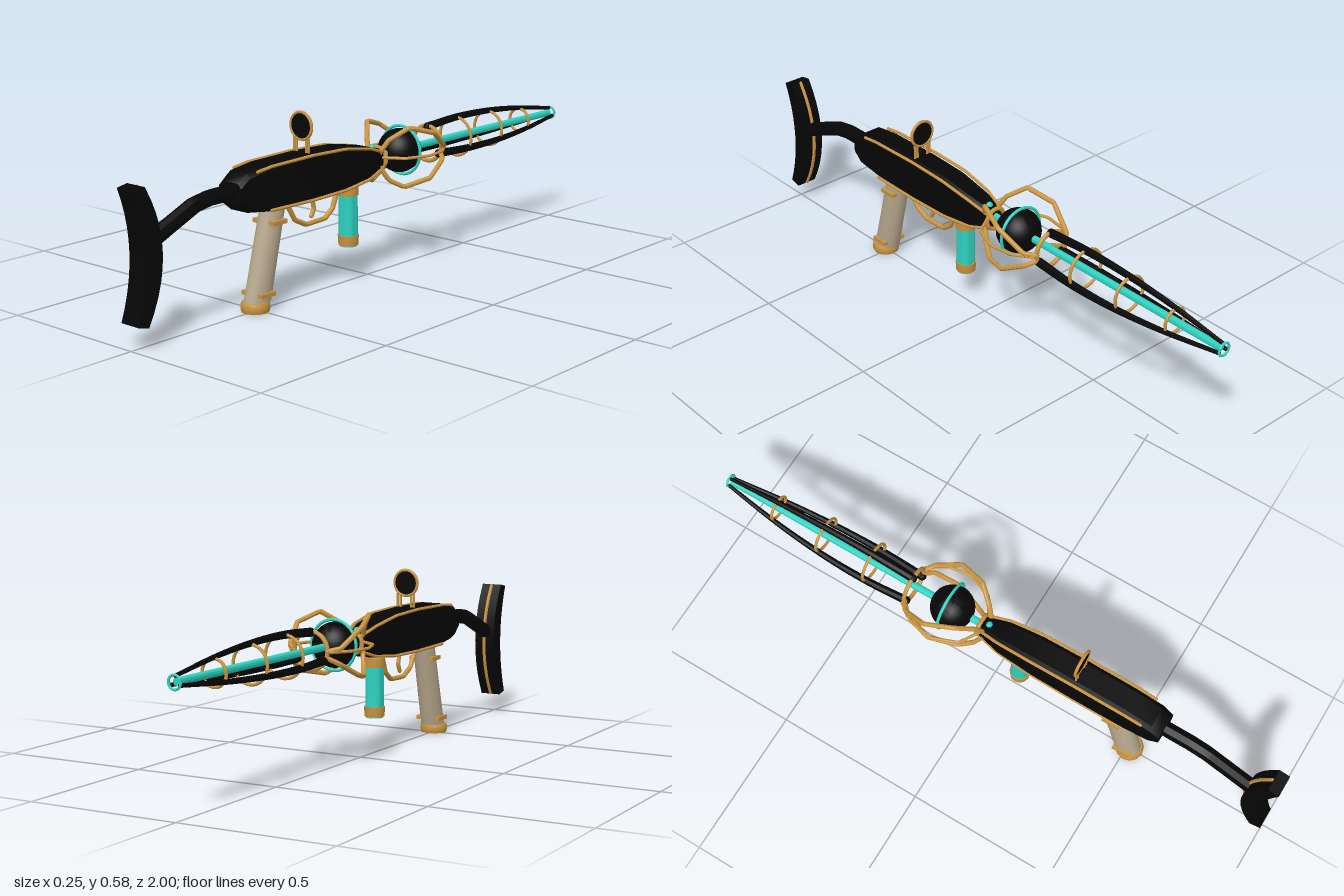
import * as THREE from 'three';
import { toCreasedNormals } from 'three/addons/utils/BufferGeometryUtils.js';

const V = (x, y, z) => new THREE.Vector3(x, y, z);
const AXIS = 0.38; // height of the barrel axis

export function createModel() {
  const model = new THREE.Group();
  const black = new THREE.MeshStandardMaterial({ color: 0x060606 });
  black.name = 'black';
  const brass = new THREE.MeshStandardMaterial({ color: 0xc8933f });
  brass.name = 'brass';
  const teal = new THREE.MeshStandardMaterial({ color: 0x2ed3c2 });
  teal.name = 'teal';
  const ivory = new THREE.MeshStandardMaterial({ color: 0xb8a88e });
  ivory.name = 'ivory';

  function add(name, geometry, material, x = 0, y = 0, z = 0) {
    const mesh = new THREE.Mesh(toCreasedNormals(geometry, 0.7), material);
    mesh.name = name;
    mesh.position.set(x, y, z);
    model.add(mesh);
    return mesh;
  }

  // Straight-segment path through points, or a smooth one, as a closed-ended tube
  function rod(name, points, r0, material, { smooth = false, r1 = r0, sides = 8 } = {}) {
    let curve;
    if (smooth) curve = new THREE.CatmullRomCurve3(points);
    else {
      curve = new THREE.CurvePath();
      for (let i = 1; i < points.length; i++) curve.add(new THREE.LineCurve3(points[i - 1], points[i]));
    }
    const steps = smooth ? 24 : (points.length - 1) * 6;
    const g = new THREE.TubeGeometry(curve, steps, r0, sides);
    const p = g.attributes.position;
    const v = new THREE.Vector3();
    for (let i = 0; i <= steps; i++) {
      const c = curve.getPointAt(i / steps);
      const k = THREE.MathUtils.lerp(1, r1 / r0, i / steps);
      for (let j = 0; j <= sides; j++) {
        const n = i * (sides + 1) + j;
        v.fromBufferAttribute(p, n).sub(c).multiplyScalar(k).add(c);
        p.setXYZ(n, v.x, v.y, v.z);
      }
    }
    add(name, g, material);
    for (const [q, r] of [[points[0], r0], [points[points.length - 1], r1]]) {
      add(name + 'End', new THREE.SphereGeometry(r, 8, 6), material, q.x, q.y, q.z);
    }
  }

  const ring = (name, R, r, material, y, z) =>
    add(name, new THREE.TorusGeometry(R, r, 8, 32), material, 0, y, z);

  // Receiver: chamfered box sections lofted along z  [z, half width, bottom, top]
  const stations = [
    [-0.05, 0.027, 0.34, 0.403], [0.03, 0.041, 0.318, 0.425], [0.15, 0.046, 0.305, 0.445],
    [0.3, 0.047, 0.302, 0.45], [0.48, 0.047, 0.305, 0.447], [0.57, 0.047, 0.318, 0.435],
    [0.605, 0.045, 0.345, 0.41],
  ];
  const pos = [];
  const index = [];
  for (const [z, w, b, t] of stations) {
    const c = 0.014;
    for (const [x, y] of [[w, b + c], [w, t - c], [w - c, t], [c - w, t], [-w, t - c], [-w, b + c], [c - w, b], [w - c, b]]) {
      pos.push(x, y, z);
    }
  }
  const last = (stations.length - 1) * 8;
  for (let i = 0; i < last; i += 8) {
    for (let j = 0; j < 8; j++) {
      const k = (j + 1) % 8;
      index.push(i + j, i + k, i + 8 + k, i + j, i + 8 + k, i + 8 + j);
    }
  }
  for (let j = 1; j < 7; j++) index.push(0, j + 1, j, last, last + j, last + j + 1);
  const body = new THREE.BufferGeometry();
  body.setAttribute('position', new THREE.Float32BufferAttribute(pos, 3));
  body.setIndex(index);
  add('receiver', body, black);

  // Brass rails along the receiver edges
  for (const s of [-1, 1]) {
    rod('upperRail', [V(s * 0.048, 0.436, 0.54), V(s * 0.049, 0.443, 0.48), V(s * 0.049, 0.446, 0.3),
      V(s * 0.049, 0.441, 0.15), V(s * 0.042, 0.42, 0.03), V(s * 0.028, 0.395, -0.045)], 0.005, brass, { sides: 6 });
    rod('lowerRail', [V(s * 0.045, 0.31, 0.48), V(s * 0.045, 0.307, 0.3), V(s * 0.044, 0.31, 0.15),
      V(s * 0.039, 0.323, 0.03), V(s * 0.027, 0.347, -0.045)], 0.005, brass, { sides: 6 });
  }
  ring('receiverCollar', 0.034, 0.007, brass, 0.373, -0.05);
  add('receiverBead', new THREE.SphereGeometry(0.011, 12, 8), teal, 0, 0.409, -0.022);

  // Stock neck and curved butt pad
  rod('stockNeck', [V(0, 0.295, 0.925), V(0, 0.315, 0.88), V(0, 0.37, 0.75), V(0, 0.38, 0.69), V(0, 0.38, 0.59)], 0.025, black);
  const pad = new THREE.Shape();
  pad.moveTo(1, 0.46);
  pad.quadraticCurveTo(0.925, 0.27, 1, 0.075);
  pad.lineTo(0.963, 0.065);
  pad.quadraticCurveTo(0.845, 0.27, 0.963, 0.467);
  pad.closePath();
  const padGeometry = new THREE.ExtrudeGeometry(pad, { depth: 0.072, bevelEnabled: false, curveSegments: 10 });
  padGeometry.rotateY(-Math.PI / 2).translate(0.036, 0, 0);
  add('buttPad', padGeometry, black);
  const trim = new THREE.QuadraticBezierCurve3(V(0, 0.07, 0.96), V(0, 0.27, 0.842), V(0, 0.462, 0.96));
  rod('buttTrim', trim.getPoints(8), 0.006, brass, { smooth: true, sides: 6 });

  // Slanted grip with bands and pommel
  const slant = 0.25;
  const gripZ = (y) => 0.508 - slant * y;
  const grip = new THREE.CylinderGeometry(0.044, 0.047, 0.28, 12);
  grip.scale(0.78, 1, 1).applyMatrix4(new THREE.Matrix4().set(1, 0, 0, 0, 0, 1, 0, 0, 0, -slant, 1, 0, 0, 0, 0, 1));
  add('grip', grip, ivory, 0, 0.17, gripZ(0.17));
  for (const y of [0.053, 0.265]) {
    add('gripBand', new THREE.BoxGeometry(0.086, 0.013, 0.06), brass, 0, y, gripZ(y));
  }
  const pommel = [[0, 0], [0.042, 0], [0.046, 0.012], [0.046, 0.02], [0.04, 0.031], [0, 0.031]];
  add('pommel', new THREE.LatheGeometry(pommel.map(([x, y]) => new THREE.Vector2(x, y)), 12), brass, 0, 0, 0.51);

  // Trigger and guard
  rod('triggerGuard', [V(0, 0.31, 0.375), V(0, 0.245, 0.335), V(0, 0.221, 0.285), V(0, 0.224, 0.2), V(0, 0.25, 0.165), V(0, 0.31, 0.14)], 0.008, brass);
  rod('trigger', [V(0, 0.305, 0.26), V(0, 0.265, 0.25), V(0, 0.243, 0.262)], 0.007, brass);

  // Glowing foregrip between brass bands
  add('foregrip', new THREE.CylinderGeometry(0.03, 0.03, 0.16, 20), teal, 0, 0.215, 0.092);
  add('foregripFoot', new THREE.CylinderGeometry(0.034, 0.032, 0.032, 12), brass, 0, 0.135, 0.092);
  add('foregripBase', new THREE.CylinderGeometry(0.028, 0.028, 0.006, 20), teal, 0, 0.118, 0.092);
  add('foregripTop', new THREE.CylinderGeometry(0.033, 0.033, 0.03, 12), brass, 0, 0.294, 0.092);

  // Round sight on legs
  ring('sightRing', 0.042, 0.005, brass, 0.53, 0.303);
  const lens = add('sightLens', new THREE.CylinderGeometry(0.04, 0.04, 0.005, 32), black, 0, 0.53, 0.303);
  lens.rotation.x = Math.PI / 2;
  for (const x of [-0.03, -0.02, 0.02, 0.03]) {
    rod('sightLeg', [V(x, 0.44, 0.303), V(x, 0.495, 0.303)], 0.004, brass, { sides: 6 });
  }

  // Core orb with its halo
  add('coreOrb', new THREE.SphereGeometry(0.071, 32, 20), black, 0, AXIS, -0.157);
  ring('coreHalo', 0.079, 0.005, teal, AXIS, -0.165);

  // Angular cage arms twisting around the orb
  const arms = {
    upperArm: [[0.025, 0.395, -0.03], [0.045, 0.435, -0.05], [0.0875, 0.473, -0.1], [0.115, 0.447, -0.19], [0.09, 0.388, -0.275], [0.058, 0.38, -0.3]],
    lowerArm: [[0.025, 0.35, -0.03], [0.043, 0.305, -0.055], [0.068, 0.279, -0.1], [0.101, 0.298, -0.19], [0.083, 0.342, -0.275], [0.055, 0.36, -0.3]],
    sideArm: [[0.025, 0.378, -0.04], [0.09, 0.378, -0.08], [0.121, 0.378, -0.16], [0.11, 0.378, -0.24], [0.07, 0.378, -0.3]],
  };
  for (const [name, points] of Object.entries(arms)) {
    for (const s of [-1, 1]) {
      rod(name, points.map(([x, y, z]) => V(s * x, y, z)), name === 'sideArm' ? 0.005 : 0.008, brass);
    }
  }

  // Barrel: teal core, three bowed tines and brass hoops
  const core = add('barrelCore', new THREE.CylinderGeometry(0.012, 0.012, 0.98, 12), teal, 0, AXIS, -0.495);
  core.rotation.x = Math.PI / 2;
  ring('muzzleRing', 0.02, 0.004, teal, AXIS, -0.995);
  const bow = [[0.055, -0.3], [0.064, -0.45], [0.061, -0.62], [0.045, -0.8], [0.017, -0.99]];
  for (let i = 0; i < 3; i++) {
    const a = Math.PI / 2 + (i * 2 * Math.PI) / 3;
    rod('barrelTine', bow.map(([r, z]) => V(r * Math.cos(a), AXIS + r * Math.sin(a), z)), 0.014, black, { smooth: true, r1: 0.006 });
  }
  ring('barrelCollar', 0.058, 0.007, brass, AXIS, -0.3);
  for (const [R, z] of [[0.065, -0.45], [0.058, -0.63], [0.04, -0.81]]) ring('barrelHoop', R, 0.005, brass, AXIS, z);

  return model;
}
